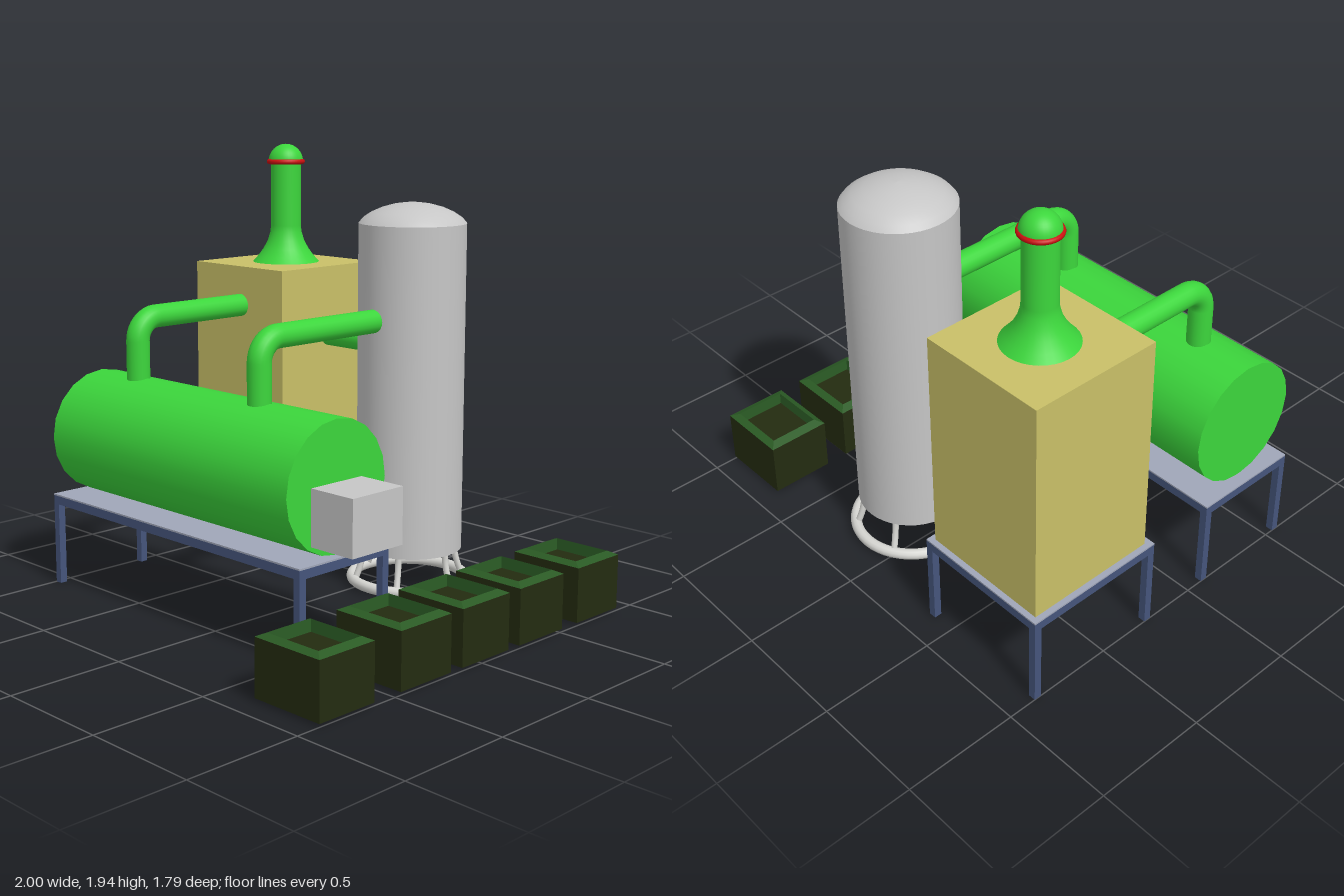
import * as THREE from 'three';

const mat = (name, color) => {
  const m = new THREE.MeshStandardMaterial({ color });
  m.name = name;
  return m;
};

export function createModel() {
  const model = new THREE.Group();
  model.name = 'boilerPlant';

  const green = mat('green', 0x3cd63c);
  const yellow = mat('ochre', 0xc9c068);
  const steel = mat('steel', 0xc6c6c6);
  const pale = mat('paleSteel', 0xd6d6d2);
  const red = mat('red', 0xcc1010);
  const navy = mat('navy', 0x45557c);
  const slab = mat('slabGrey', 0xa0a6b8);
  const crateDark = mat('crateDark', 0x232b10);
  const crateGreen = mat('crateGreen', 0x2a5a24);

  const add = (name, geo, material, x = 0, y = 0, z = 0, parent = model) => {
    const mesh = new THREE.Mesh(geo, material);
    mesh.name = name;
    mesh.position.set(x, y, z);
    parent.add(mesh);
    return mesh;
  };
  // Box given by its minimum and maximum on each axis
  const box = (name, material, x0, x1, y0, y1, z0, z1, parent = model) =>
    add(name, new THREE.BoxGeometry(x1 - x0, y1 - y0, z1 - z0), material,
      (x0 + x1) / 2, (y0 + y1) / 2, (z0 + z1) / 2, parent);
  const profile = (pts) => pts.map(([r, y]) => new THREE.Vector2(r, y));

  // Tables: thin top plate, rim rails and four legs
  const table = (name, x0, x1, z0, z1) => {
    const g = new THREE.Group();
    g.name = name;
    model.add(g);
    const t = 0.033;
    box('tableTop', slab, x0, x1, 0.403, 0.41, z0, z1, g);
    for (const z of [z0, z1 - t]) box('longRail', navy, x0, x1, 0.365, 0.403, z, z + t, g);
    for (const x of [x0, x1 - t]) {
      box('crossRail', navy, x, x + t, 0.365, 0.403, z0 + t, z1 - t, g);
      for (const z of [z0, z1 - t]) box('tableLeg', navy, x, x + t, 0, 0.365, z, z + t, g);
    }
  };
  table('frontTable', -1, 0.575, 0.08, 0.575);
  table('backTable', -1, -0.37, -0.875, -0.23);

  // Furnace with flared chimney
  box('furnace', yellow, -0.975, -0.395, 0.41, 1.39, -0.85, -0.26);
  const cx = -0.683, cz = -0.56;
  add('chimney', new THREE.LatheGeometry(profile([
    [0.155, 1.39], [0.13, 1.418], [0.105, 1.452], [0.085, 1.49], [0.073, 1.53], [0.07, 1.56], [0.07, 1.855],
  ]), 32), green, cx, 0, cz);
  add('chimneyRing', new THREE.TorusGeometry(0.077, 0.012, 10, 40).rotateX(Math.PI / 2), red, cx, 1.855, cz);
  add('chimneyCap', new THREE.SphereGeometry(0.08, 32, 12, 0, Math.PI * 2, 0, Math.PI / 2), green, cx, 1.856, cz);

  // Horizontal boiler with burner box
  const boiler = new THREE.CylinderGeometry(0.272, 0.272, 1.48, 20).rotateZ(Math.PI / 2);
  add('boiler', boiler, green, -0.205, 0.68, 0.335);
  box('burnerBox', steel, 0.53, 0.755, 0.467, 0.70, 0.198, 0.475);

  // Upright tank with domed top
  const tx = 0.115, tz = -0.556;
  add('tank', new THREE.CylinderGeometry(0.235, 0.235, 1.445, 40), steel, tx, 0.8975, tz);
  add('tankDome', new THREE.LatheGeometry(profile([
    [0.235, 1.62], [0.215, 1.644], [0.18, 1.667], [0.135, 1.687], [0.08, 1.702], [0.035, 1.708], [0, 1.71],
  ]), 40), steel, tx, 0, tz);

  // Tank stand: floor ring and six curved legs
  add('standRing', new THREE.TorusGeometry(0.255, 0.024, 12, 48).rotateX(Math.PI / 2), pale, tx, 0.03, tz);
  const legPath = new THREE.CatmullRomCurve3([
    [0.215, 0.19], [0.217, 0.14], [0.228, 0.09], [0.248, 0.035],
  ].map(([r, y]) => new THREE.Vector3(r, y, 0)));
  const legGeo = new THREE.TubeGeometry(legPath, 10, 0.014, 10);
  for (let i = 0; i < 6; i++) {
    add('standLeg', legGeo, pale, tx, 0, tz).rotation.y = (i * Math.PI) / 3;
  }

  // Pipes: straight link, and two elbows rising from the boiler
  const elbow = (name, x, zEnd) => {
    const path = new THREE.CurvePath();
    const v = (y, z) => new THREE.Vector3(x, y, z);
    const r = 0.1, y = 1.212, z = 0.342, k = 0.5523 * r;
    path.add(new THREE.LineCurve3(v(0.9, z), v(y - r, z)));
    path.add(new THREE.CubicBezierCurve3(v(y - r, z), v(y - r + k, z), v(y, z - r + k), v(y, z - r)));
    path.add(new THREE.LineCurve3(v(y, z - r), v(y, zEnd)));
    add(name, new THREE.TubeGeometry(path, 60, 0.051, 20), green);
  };
  elbow('furnacePipe', -0.672, -0.3);
  elbow('tankPipe', 0.104, -0.38);
  add('linkPipe', new THREE.CylinderGeometry(0.051, 0.051, 0.32, 24).rotateZ(Math.PI / 2), green, -0.26, 1.075, -0.56);

  // Crates: four-sided body, sloped rim and sunken floor
  const square = (pts) => {
    const geo = new THREE.LatheGeometry(
      profile(pts.map(([s, y]) => [s * Math.SQRT2, y])), 4, Math.PI / 4).scale(0.167, 1, 0.141).toNonIndexed();
    geo.computeVertexNormals();
    return geo;
  };
  const bodyGeo = square([[0, 0.012], [1, 0.012], [1, 0.248]]);
  const rimGeo = square([[1, 0.248], [0.78, 0.264], [0.75, 0.215]]);
  const floorGeo = square([[0.75, 0.215], [0, 0.215]]);
  for (const z of [-0.757, -0.373, -0.022, 0.328, 0.752]) {
    const crate = new THREE.Group();
    crate.name = 'crate';
    crate.position.set(0.833, 0, z);
    model.add(crate);
    add('crateBody', bodyGeo, crateDark, 0, 0, 0, crate);
    add('crateRim', rimGeo, crateGreen, 0, 0, 0, crate);
    add('crateFloor', floorGeo, crateDark, 0, 0, 0, crate);
  }

  return model;
}
